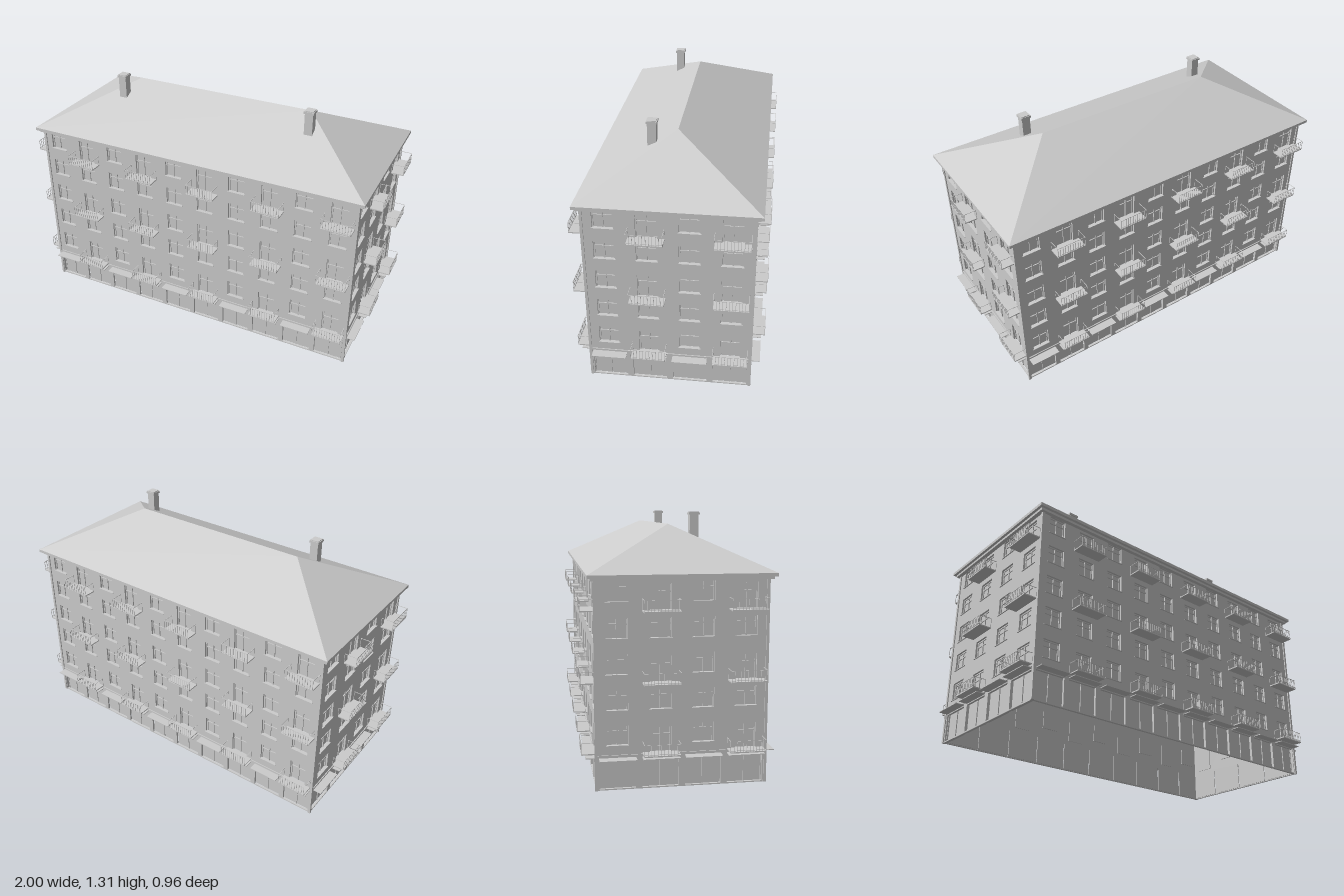
import * as THREE from 'three';
import { mergeGeometries } from 'three/addons/utils/BufferGeometryUtils.js';

const plaster = new THREE.MeshStandardMaterial({ color: 0xcccccc });
plaster.name = 'plaster grey';

const HX = 0.932, HZ = 0.414;          // half size of the wall planes
const WALL = 0.012;                    // wall thickness
const FLOORS = 5, FLOOR_H = 0.171;
const GROUND_H = 0.15;

function box(w, h, d, x, y, z) {
  return new THREE.BoxGeometry(w, h, d).translate(x, y, z);
}

function add(parent, name, geometry, x = 0, y = 0, z = 0) {
  const mesh = new THREE.Mesh(geometry, plaster);
  mesh.name = name;
  mesh.position.set(x, y, z);
  parent.add(mesh);
  return mesh;
}

function rect(path, x0, y0, x1, y1) {
  path.moveTo(x0, y0);
  path.lineTo(x1, y0);
  path.lineTo(x1, y1);
  path.lineTo(x0, y1);
  path.closePath();
  return path;
}

// Glazing with mullion and transom, origin at bottom centre of the opening
function windowGeometry(w, h) {
  const t = 0.006, z = -WALL - 0.001;
  return mergeGeometries([
    box(w + 0.004, h + 0.004, 0.004, 0, h / 2, z - 0.004),
    box(t, h, 0.007, 0, h / 2, z),
    box(w, t, 0.006, 0, h * 0.68, z),
    box(t, h, 0.006, -w / 2 + t / 2, h / 2, z),
    box(t, h, 0.006, w / 2 - t / 2, h / 2, z),
    box(w, t, 0.006, 0, h - t / 2, z),
  ]);
}

// Slab with a thin railing, origin at the slab underside on the wall plane
function balconyGeometry(w) {
  const depth = 0.068, top = 0.058, r = 0.0022;
  const parts = [
    box(w, 0.006, depth, 0, 0.003, depth / 2),
    box(w, r, r, 0, top, depth - r / 2),
    box(w, r, r, 0, 0.012, depth - r / 2),
  ];
  for (const side of [-1, 1]) {
    const x = side * (w - r) / 2;
    parts.push(box(r, r, depth, x, top, depth / 2));
    parts.push(box(r, top, r, x, top / 2, r / 2));
  }
  const bars = 11;
  for (let i = 0; i <= bars; i++) {
    const x = -(w - r) / 2 + (w - r) * i / bars;
    parts.push(box(r, top, r, x, top / 2, depth - r / 2));
  }
  return mergeGeometries(parts);
}

// One street face: x runs to the viewer's right, outer plane at z = 0
function createFacade(name, half, columns, spacing) {
  const facade = new THREE.Group();
  facade.name = name;
  const winW = spacing * 0.5, winH = 0.096, doorH = 0.123;
  const bayW = spacing * 0.85;
  const shape = rect(new THREE.Shape(), -half, 0, half, 1.008);

  const windowGeo = windowGeometry(winW, winH);
  const doorGeo = windowGeometry(winW, doorH);
  const sillGeo = box(winW + 0.008, 0.003, 0.02, 0, -0.0015, -0.004);
  const balconyGeo = balconyGeometry(bayW);
  const awningGeo = box(bayW + 0.002, 0.004, 0.048, 0, 0, 0.024);
  const shopGeo = mergeGeometries([
    box(bayW + 0.004, GROUND_H, 0.004, 0, GROUND_H / 2, -0.018),
    box(0.005, GROUND_H, 0.006, 0, GROUND_H / 2, -0.014),
  ]);

  for (let i = 0; i < columns; i++) {
    const x = (i - (columns - 1) / 2) * spacing;

    // Shop bay on the ground floor
    shape.holes.push(rect(new THREE.Path(), x - bayW / 2, 0.006, x + bayW / 2, GROUND_H));
    add(facade, 'shopWindow', shopGeo, x, 0.003, 0);
    add(facade, 'awning', awningGeo, x, 0.157, 0);

    // Upper floors: balconies on every second column and floor
    for (let f = 0; f < FLOORS; f++) {
      const base = f * FLOOR_H;
      const hasBalcony = i % 2 === 1 && f % 2 === 0;
      const y = base + (hasBalcony ? 0.18 : 0.22);
      const h = hasBalcony ? doorH : winH;
      shape.holes.push(rect(new THREE.Path(), x - winW / 2, y, x + winW / 2, y + h));
      add(facade, hasBalcony ? 'balconyDoor' : 'window', hasBalcony ? doorGeo : windowGeo, x, y, 0);
      if (hasBalcony) add(facade, 'balcony', balconyGeo, x, base + 0.174, 0);
      else add(facade, 'windowSill', sillGeo, x, y, 0);
    }
  }

  const wall = new THREE.ExtrudeGeometry(shape, { depth: WALL, bevelEnabled: false });
  add(facade, 'wall', wall, 0, 0, -WALL);
  add(facade, 'beltCourse', box(half * 2, 0.01, 0.005, 0, 0.168, 0.0025));
  return facade;
}

// Hipped roof with a flat underside
function roofGeometry(ex, ez, y0, y1, ridge) {
  const a = [-ex, y0, ez], b = [ex, y0, ez], c = [ex, y0, -ez], d = [-ex, y0, -ez];
  const l = [-ridge, y1, 0], r = [ridge, y1, 0];
  const faces = [a, b, r, a, r, l, c, d, l, c, l, r, b, c, r, d, a, l, a, d, c, a, c, b];
  const geometry = new THREE.BufferGeometry();
  geometry.setAttribute('position', new THREE.Float32BufferAttribute(faces.flat(), 3));
  geometry.computeVertexNormals();
  return geometry;
}

export function createModel() {
  const model = new THREE.Group();
  model.name = 'apartmentBuilding';

  // Four facades; opposite ones are the same face turned half round
  for (let k = 0; k < 4; k++) {
    const long = k % 2 === 0;
    const name = ['frontFacade', 'leftFacade', 'backFacade', 'rightFacade'][k];
    const facade = long ? createFacade(name, HX, 10, 0.187) : createFacade(name, HZ, 4, 0.207);
    const dist = long ? HZ : HX;
    const angle = k * Math.PI / 2;
    facade.rotation.y = angle;
    facade.position.set(Math.sin(angle) * dist, 0, Math.cos(angle) * dist);
    model.add(facade);
  }

  // Corner posts
  for (const sx of [-1, 1]) {
    for (const sz of [-1, 1]) {
      add(model, 'cornerPost', new THREE.BoxGeometry(0.014, 1.002, 0.014), sx * 0.9305, 0.501, sz * 0.413);
    }
  }

  // Cornice, eaves and roof
  add(model, 'cornice', new THREE.BoxGeometry(1.906, 0.014, 0.868), 0, 1.008, 0);
  add(model, 'eaves', new THREE.BoxGeometry(1.934, 0.016, 0.898), 0, 1.022, 0);
  add(model, 'roof', roofGeometry(0.967, 0.449, 1.03, 1.25, 0.52));

  // Chimneys on the front slope
  for (const s of [-1, 1]) {
    const chimney = new THREE.Group();
    chimney.name = 'chimney';
    chimney.position.set(s * 0.558, 0, 0.125);
    add(chimney, 'chimneyStack', new THREE.BoxGeometry(0.045, 0.14, 0.045), 0, 1.235, 0);
    add(chimney, 'chimneyCap', new THREE.BoxGeometry(0.055, 0.012, 0.055), 0, 1.302, 0);
    add(chimney, 'chimneyTop', new THREE.BoxGeometry(0.047, 0.004, 0.047), 0, 1.31, 0);
    model.add(chimney);
  }
  return model;
}
